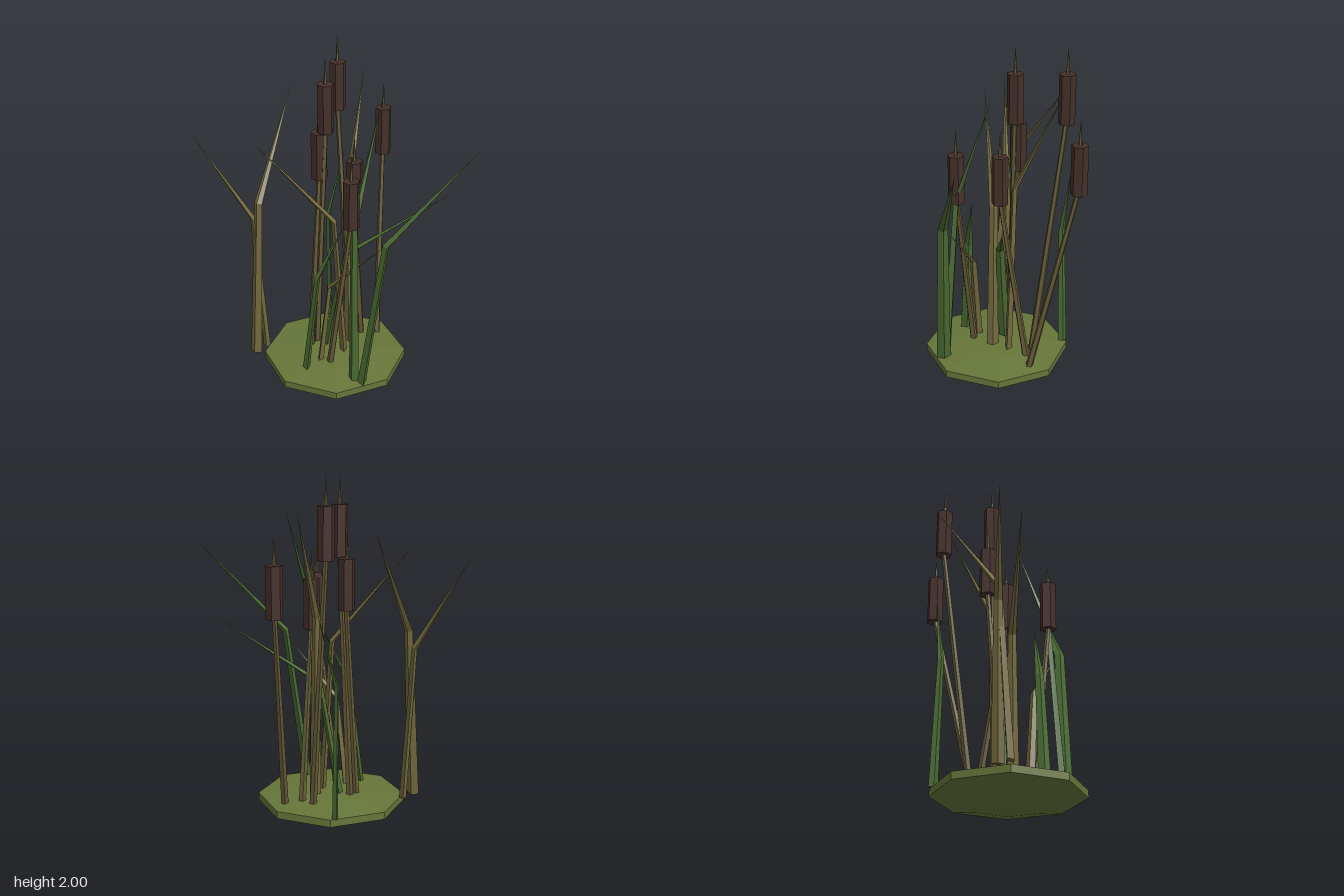
import * as THREE from 'three';

const material = (color) => new THREE.MeshStandardMaterial({ color, flatShading: true });
const mats = {
  mound: material(0x67763a),
  green: material(0x4a6b32),
  olive: material(0x736a3e),
  stem: material(0x665b38),
  head: material(0x45302a),
};

function addMesh(parent, name, geometry, mat) {
  const mesh = new THREE.Mesh(geometry, mat);
  mesh.name = name;
  parent.add(mesh);
  return mesh;
}

// Straight tapered rod between two points
function rod(a, b, rA, rB, sides) {
  const dir = b.clone().sub(a);
  const g = new THREE.CylinderGeometry(rB, rA, dir.length(), sides);
  g.applyQuaternion(new THREE.Quaternion().setFromUnitVectors(new THREE.Vector3(0, 1, 0), dir.normalize()));
  g.translate((a.x + b.x) / 2, (a.y + b.y) / 2, (a.z + b.z) / 2);
  return g;
}

// Folded blade: diamond sections at the base and the fold, closing to a point
function blade(base, fold, tip, width) {
  const lean = new THREE.Vector3(tip.x - fold.x, 0, tip.z - fold.z).normalize();
  const side = new THREE.Vector3(lean.z, 0, -lean.x);
  const pos = [];
  const ring = (center, w, t, across) => [
    center.clone().addScaledVector(side, w / 2),
    center.clone().addScaledVector(across, -t / 2),
    center.clone().addScaledVector(side, -w / 2),
    center.clone().addScaledVector(across, t / 2),
  ];
  // the fold section is tilted halfway between the two segments
  const up = tip.clone().sub(fold).normalize().add(fold.clone().sub(base).normalize()).normalize();
  const across = new THREE.Vector3().crossVectors(side, up).normalize();
  if (across.dot(lean) < 0) across.negate();
  const r0 = ring(base, width, width * 0.6, lean);
  const r1 = ring(fold, width * 0.7, width * 0.45, across);
  const tri = (...points) => points.forEach((p) => pos.push(p.x, p.y, p.z));
  for (let i = 0; i < 4; i++) {
    const j = (i + 1) % 4;
    tri(r0[i], r0[j], r1[j]);
    tri(r0[i], r1[j], r1[i]);
    tri(r1[i], r1[j], tip);
  }
  tri(r0[0], r0[2], r0[1]);
  tri(r0[0], r0[3], r0[2]);
  const g = new THREE.BufferGeometry();
  g.setAttribute('position', new THREE.Float32BufferAttribute(pos, 3));
  g.computeVertexNormals();
  return g;
}

export function createModel() {
  const root = new THREE.Group();
  root.name = 'reedClump';
  const v = (p) => new THREE.Vector3(...p);

  // Eight-sided mound, slightly domed above and below
  const profile = [[0, 0], [0.25, 0.02], [0.43, 0.055], [0.43, 0.098], [0.22, 0.12], [0, 0.13]]
    .map(([r, y]) => new THREE.Vector2(r, y));
  const mound = addMesh(root, 'mound', new THREE.LatheGeometry(profile, 8), mats.mound);
  mound.position.set(-0.03, 0, -0.055);

  // Reeds: stem foot (x, z), then head (x, z) and the height of its underside
  const reeds = [
    [0.19, -0.13, 0.265, -0.31, 1.55],
    [-0.05, -0.19, 0.012, -0.16, 1.53],
    [0.29, 0.0, 0.495, -0.155, 1.24],
    [-0.1, -0.19, 0.0, -0.203, 1.23],
    [0.21, -0.06, 0.062, 0.015, 1.1],
    [-0.15, 0.02, -0.13, 0.172, 1.1],
  ];
  for (const [fx, fz, x, z, y] of reeds) {
    const reed = new THREE.Group();
    reed.name = 'reed';
    root.add(reed);
    addMesh(reed, 'stem', rod(v([fx, 0.1, fz]), v([x, y + 0.02, z]), 0.022, 0.014, 5), mats.stem);
    const head = addMesh(reed, 'seedHead', new THREE.CylinderGeometry(0.048, 0.048, 0.29, 6), mats.head);
    head.position.set(x, y + 0.145, z);
    const spike = addMesh(reed, 'spike', new THREE.ConeGeometry(0.011, 0.16, 5), mats.stem);
    spike.position.set(x, y + 0.37, z);
  }

  // Leaves: base, fold, tip, base width, colour
  const leaves = [
    [[-0.28, 0.1, -0.4], [-0.315, 1.0, -0.44], [-0.54, 1.535, -0.665], 0.07, 'olive'],
    [[-0.37, 0.1, -0.4], [-0.295, 1.1, -0.41], [0.11, 1.7, -0.53], 0.075, 'olive'],
    [[-0.01, 0.1, 0.0], [-0.045, 1.02, -0.045], [-0.41, 1.58, -0.35], 0.07, 'olive'],
    [[0.085, 0.1, -0.04], [0.1, 1.18, -0.065], [0.36, 1.8, -0.19], 0.07, 'olive'],
    [[-0.17, 0.1, -0.04], [-0.15, 0.65, 0.02], [-0.035, 0.99, 0.33], 0.06, 'olive'],
    [[-0.15, 0.1, 0.28], [-0.05, 1.02, 0.36], [0.36, 1.56, 0.66], 0.085, 'green'],
    [[-0.03, 0.1, -0.13], [0.03, 0.78, -0.02], [0.46, 1.18, 0.42], 0.07, 'green'],
    [[-0.285, 0.1, -0.05], [-0.22, 0.73, -0.01], [-0.09, 1.08, 0.09], 0.07, 'green'],
    [[0.24, 0.1, -0.36], [0.22, 0.85, -0.35], [0.32, 1.28, -0.3], 0.055, 'green'],
    [[-0.17, 0.1, 0.235], [-0.12, 1.12, 0.185], [0.13, 1.78, 0.155], 0.07, 'green'],
  ];
  for (const [base, fold, tip, width, color] of leaves) {
    addMesh(root, 'leaf', blade(v(base), v(fold), v(tip), width), mats[color]);
  }
  return root;
}
